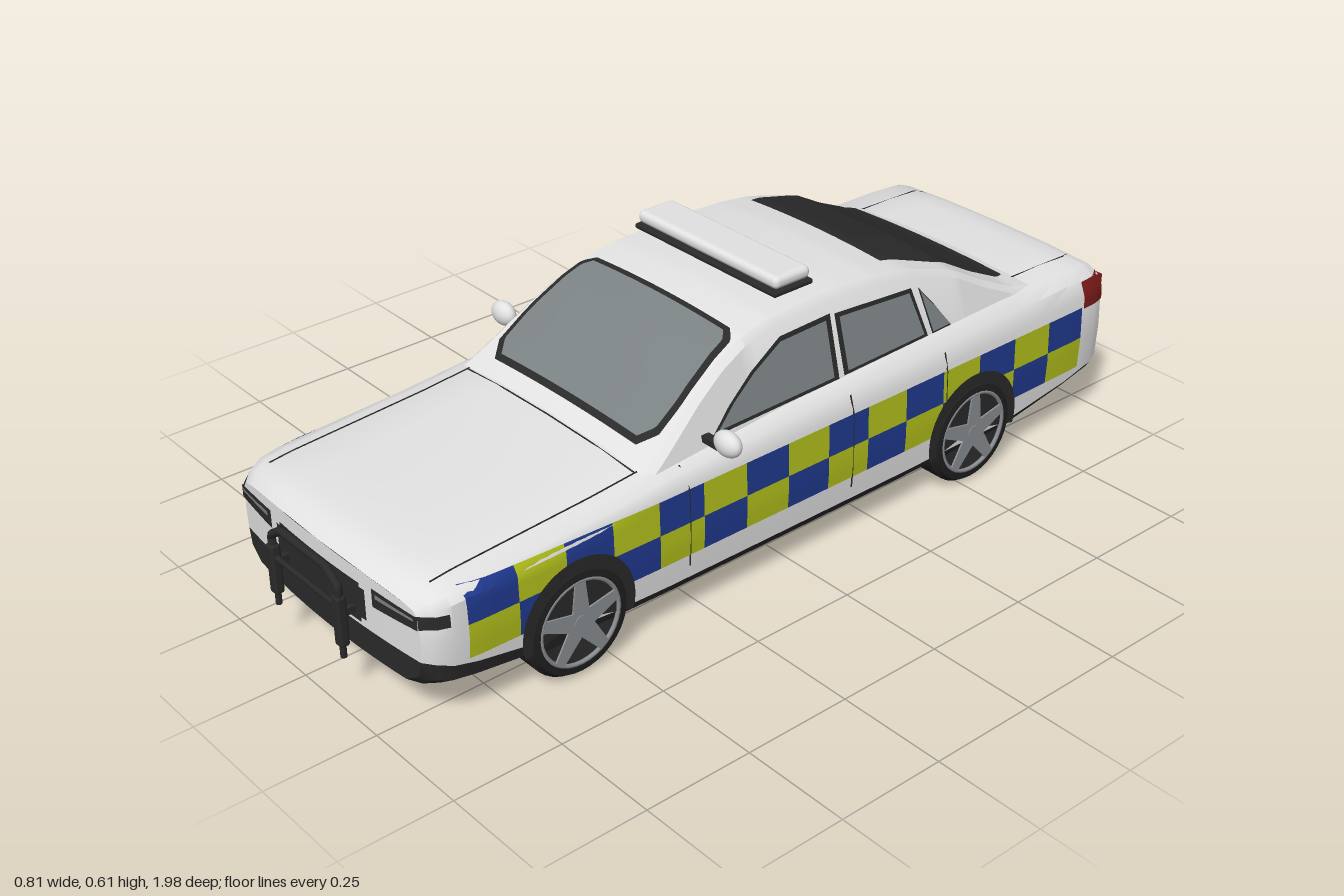
import * as THREE from 'three';
import { toCreasedNormals } from 'three/addons/utils/BufferGeometryUtils.js';
import { RoundedBoxGeometry } from 'three/addons/geometries/RoundedBoxGeometry.js';

const lerp = THREE.MathUtils.lerp;
const material = (name, color) => new THREE.MeshStandardMaterial({ name, color, side: THREE.DoubleSide });

// Body stations: z, half width, bottom, trim line, shoulder, top edge, crown
const STATIONS = [
  [0.92, 0.310, 0.105, 0.165, 0.265, 0.285, 0.012], [0.90, 0.331, 0.095, 0.160, 0.275, 0.300, 0.012],
  [0.87, 0.342, 0.088, 0.150, 0.285, 0.311, 0.012], [0.82, 0.347, 0.085, 0.140, 0.290, 0.317, 0.013],
  [0.70, 0.348, 0.075, 0.120, 0.295, 0.325, 0.013], [0.50, 0.348, 0.070, 0.102, 0.305, 0.338, 0.013],
  [0.35, 0.350, 0.070, 0.100, 0.312, 0.352, 0.012], [0.00, 0.350, 0.070, 0.100, 0.316, 0.372, 0.010],
  [-0.30, 0.350, 0.070, 0.100, 0.320, 0.380, 0.010], [-0.65, 0.348, 0.075, 0.102, 0.325, 0.390, 0.010],
  [-0.85, 0.346, 0.110, 0.130, 0.335, 0.389, 0.010], [-0.94, 0.342, 0.125, 0.148, 0.335, 0.385, 0.010],
  [-0.97, 0.332, 0.130, 0.155, 0.335, 0.375, 0.008]];
// Roof line: z, y
const ROOF = [[0.38, 0.350], [0.35, 0.367], [0.30, 0.402], [0.22, 0.460], [0.15, 0.503], [0.08, 0.533], [0, 0.547],
  [-0.1, 0.552], [-0.2, 0.553], [-0.3, 0.548], [-0.39, 0.535], [-0.53, 0.492], [-0.61, 0.447], [-0.7, 0.405], [-0.78, 0.385]];

// Linear lookup in a table sorted by falling first column
function look(table, z, col) {
  let i = 0;
  while (i < table.length - 2 && z < table[i + 1][0]) i++;
  const a = table[i], b = table[i + 1];
  return lerp(a[col], b[col], THREE.MathUtils.clamp((z - a[0]) / (b[0] - a[0]), 0, 1));
}

// Half section of the body from the underside centre to the top centre
function section(z) {
  const [w, yb, dk, sh, top, cr] = [1, 2, 3, 4, 5, 6].map((c) => look(STATIONS, z, c));
  return [[0, yb], [w - 0.05, yb], [w - 0.012, lerp(yb, dk, 0.4)], [w - 0.004, dk], [w, lerp(dk, sh, 0.45)],
    [w - 0.004, sh], [w - 0.018, lerp(sh, top, 0.65)], [w - 0.045, top], [w * 0.5, top + cr * 0.75], [0, top + cr]];
}
const bowed = (z, x) => z + 0.025 * (1 - (x / 0.35) ** 2) * THREE.MathUtils.smoothstep(z, 0.6, 0.9);

function sideX(z, y) {
  const s = section(z);
  let i = 1;
  while (i < 6 && y > s[i + 1][1]) i++;
  return lerp(s[i][0], s[i + 1][0], (y - s[i][1]) / (s[i + 1][1] - s[i][1]));
}
function topY(z, x) {
  const s = section(z), a = Math.abs(x), i = a > s[8][0] ? 7 : 8;
  return lerp(s[i][1], s[i + 1][1], (s[i][0] - a) / (s[i][0] - s[i + 1][0]));
}
const cabinX = (y) => 0.305 - (y - 0.37) * 0.28;
const roofY = (z) => look(ROOF, z, 1);

// Rectangular sheet shaped by a rule
function grid(nu, nv, fn, crease = 0.6) {
  const g = new THREE.PlaneGeometry(1, 1, nu, nv), p = g.attributes.position, uv = g.attributes.uv;
  for (let i = 0; i < p.count; i++) p.setXYZ(i, ...fn(uv.getX(i), uv.getY(i)));
  return toCreasedNormals(g, crease);
}

export function createModel() {
  const model = new THREE.Group();
  model.name = 'patrolCar';
  const white = material('white paint', 0xe2e2e2), dark = material('dark trim', 0x2a2a2a);
  const tyreMat = material('tyre rubber', 0x202020), glass = material('grey glass', 0x7b8284);
  const blue = material('blue panel', 0x20398f), yellow = material('yellow panel', 0xb4c21c);
  const red = material('red lamp', 0x7c1a1a), silver = material('silver rim', 0x8d9094);

  const add = (name, geo, mat, x = 0, y = 0, z = 0, parent = model) => {
    const m = new THREE.Mesh(geo, mat);
    m.name = name;
    m.position.set(x, y, z);
    parent.add(m);
    return m;
  };
  const tube = (name, pts, r, mat, n = 6) => {
    const path = new THREE.CurvePath();
    const v = pts.map((p) => new THREE.Vector3(...p));
    for (let i = 1; i < v.length; i++) path.add(new THREE.LineCurve3(v[i - 1], v[i]));
    return add(name, new THREE.TubeGeometry(path, (v.length - 1) * 6, r, n), mat);
  };

  // Body shell
  const zs = [];
  STATIONS.forEach((s, i) => {
    zs.push(s[0]);
    if (STATIONS[i + 1]) zs.push(lerp(s[0], STATIONS[i + 1][0], 0.5));
  });
  const shell = (name, half, mat) => {
    const n = half.length * 2 - 2;
    add(name, grid(zs.length - 1, n, (u, v) => {
      const z = zs[Math.round(u * (zs.length - 1))], k = Math.round(v * n);
      const mirrored = k >= half.length;
      const [x, y] = section(z)[half[mirrored ? n - k : k]];
      return [mirrored ? -x : x, y, bowed(z, x)];
    }), mat);
  };
  shell('bodyShell', [3, 4, 5, 6, 7, 8, 9], white);
  shell('lowerBody', [3, 2, 1, 0], dark);

  // Nose and tail faces
  const cap = (name, z, rows, mat) => add(name, grid(14, rows.length - 1, (u, v) => {
    const j = rows[Math.round(v * (rows.length - 1))], s = section(z)[Math.min(j, 7)];
    const x = lerp(-s[0], s[0], u);
    return [x, j > 7 ? topY(z, x) : s[1], bowed(z, x)];
  }), mat);
  for (const [end, z] of [['front', 0.92], ['rear', -0.97]]) {
    cap(end + 'Face', z, [3, 4, 5, 6, 7, 8], white);
    cap(end + 'Bumper', z, [1, 2, 3], dark);
  }

  // Cabin: roof and sloping sides
  const roofPoint = (z, s) => {
    const y = roofY(z);
    return [s * (cabinX(y) - 0.012), y + 0.01 * (1 - s * s), z];
  };
  add('cabin', grid(58, 12, (u, v) => {
    const z = lerp(0.38, -0.78, u), k = Math.round(v * 12) - 6, a = Math.abs(k);
    if (a <= 4) return roofPoint(z, k / 4);
    const y = a === 5 ? roofY(z) - 0.014 : Math.min(0.345, roofY(z) - 0.02);
    return [Math.sign(k) * cabinX(y), y, z];
  }), white);

  // Windscreen and rear window, outlined by z and half width
  const roofPlate = (name, outline, lift, mat) => add(name, grid(30, 12, (u, v) => {
    const z = lerp(outline[0][0], outline.at(-1)[0], u), x = look(outline, z, 1) * (v * 2 - 1);
    const s = x / (cabinX(roofY(z)) - 0.012);
    return [x, roofY(z) + 0.01 * (1 - s * s) + lift, z];
  }), mat);
  roofPlate('windscreenFrame', [[0.345, 0.235], [0.31, 0.265], [0.25, 0.262], [0.1, 0.242], [0.078, 0.215]], 0.005, dark);
  roofPlate('windscreen', [[0.334, 0.225], [0.305, 0.25], [0.25, 0.248], [0.11, 0.228], [0.092, 0.21]], 0.009, glass);
  roofPlate('rearWindow', [[-0.36, 0.205], [-0.5, 0.23], [-0.69, 0.248], [-0.725, 0.235]], 0.006, dark);

  // Side windows in z, y
  const windows = [
    ['frontSideWindow', [[0.205, 0.373], [0.15, 0.42], [0.08, 0.467], [-0.01, 0.512], [-0.153, 0.516], [-0.15, 0.378]]],
    ['rearSideWindow', [[-0.165, 0.512], [-0.165, 0.38], [-0.418, 0.386], [-0.39, 0.498]]],
    ['quarterWindow', [[-0.41, 0.494], [-0.45, 0.445], [-0.49, 0.388], [-0.432, 0.386]]]];
  const windowPlate = (name, pts, side, lift, mat) => {
    const g = new THREE.ShapeGeometry(new THREE.Shape(pts.map((p) => new THREE.Vector2(...p))));
    const p = g.attributes.position;
    for (let i = 0; i < p.count; i++) p.setXYZ(i, side * (cabinX(p.getY(i)) + lift), p.getY(i), p.getX(i));
    g.computeVertexNormals();
    add(name, g, mat);
  };
  for (const side of [-1, 1]) for (const [name, pts] of windows) {
    const c = [0, 1].map((k) => pts.reduce((t, p) => t + p[k], 0) / pts.length);
    windowPlate(name + 'Frame', pts, side, 0.003, dark);
    windowPlate(name, pts.map((p) => p.map((q, k) => lerp(c[k], q, k ? 0.87 : 0.91))), side, 0.006, glass);
  }

  // Plates that follow the body side or the end faces
  const sidePlate = (name, side, z0, z1, y0, y1, mat, lift = 0.002, n = 4) => add(name, grid(n, n, (u, v) => {
    const z = lerp(z0, z1, u), y = lerp(y0, y1, v), x = sideX(z, y);
    return [side * (x + lift), y, bowed(z, x)];
  }), mat);
  const endPlate = (name, zEnd, x0, x1, y0, y1, mat, lift = 0.004, taper = 0) => add(name, grid(6, 1, (u, v) => {
    const x = lerp(x0, x1, u);
    return [x, lerp(y0 + taper * u, y1 - taper * u * 0.5, v), bowed(zEnd, x) + Math.sign(zEnd) * lift];
  }), mat);

  for (const side of [-1, 1]) {
    // Two rows of checks
    const step = 1.73 / 15;
    for (let i = 0; i < 15; i++) for (let row = 0; row < 2; row++) {
      const z = 0.84 - i * step, y = 0.156 + row * 0.077;
      sidePlate('checkPanel', side, z, z - step, y, y + 0.077, (i + row) % 2 ? blue : yellow);
    }
    // Lamps
    endPlate('headlight', 0.92, side * 0.178, side * 0.309, 0.232, 0.274, dark, 0.004, 0.008);
    endPlate('headlightLens', 0.92, side * 0.19, side * 0.30, 0.256, 0.266, glass, 0.006, 0.003);
    sidePlate('headlightWrap', side, 0.923, 0.875, 0.242, 0.27, dark, 0.003);
    endPlate('tailLight', -0.97, side * 0.205, side * 0.325, 0.308, 0.362, red);
    sidePlate('tailLightWrap', side, -0.97, -0.895, 0.305, 0.368, red, 0.003);
    // Panel gaps
    for (const z of [0.3, -0.155, -0.44]) {
      const pts = [0.13, 0.18, 0.22, 0.27, 0.31, 0.35].map((y) => [side * (sideX(z, y) + 0.001), y, z]);
      tube('doorGap', pts, 0.0022, dark, 4);
    }
    tube('bonnetGap', [0.38, 0.5, 0.7, 0.82, 0.87].map((z) => [side * 0.28, topY(z, 0.28), bowed(z, 0.28)]), 0.0022, dark, 4);
    tube('bootGap', [[side * 0.24, topY(-0.75, 0.24), -0.75], [side * 0.24, topY(-0.94, 0.24), -0.94],
      [side * 0.22, 0.375, -0.971], [side * 0.2, 0.26, -0.971], [0, 0.255, -0.971]], 0.0022, dark, 4);
    // Door mirrors
    add('mirror', new THREE.SphereGeometry(1, 20, 14), white, side * 0.37, 0.393, 0.22).scale.set(0.036, 0.028, 0.022);
    add('mirrorStalk', new THREE.BoxGeometry(0.06, 0.014, 0.02), dark, side * 0.318, 0.378, 0.22);
  }
  for (const [name, z, w] of [['bonnetRearGap', 0.385, 0.28], ['bootFrontGap', -0.75, 0.24]])
    tube(name, [-1, -0.5, 0, 0.5, 1].map((s) => [s * w, topY(z, s * w), bowed(z, s * w)]), 0.0022, dark, 4);

  // Grille and rear bumper strip
  endPlate('grille', 0.92, -0.155, 0.155, 0.188, 0.258, dark, 0.004);
  endPlate('grilleMiddle', 0.92, -0.14, 0.14, 0.178, 0.268, dark, 0.005);
  add('rearBumperStrip', new RoundedBoxGeometry(0.54, 0.022, 0.026, 2, 0.006), dark, 0, 0.2, -0.982);

  // Push bar
  tube('pushBarHoop', [[-0.117, 0.235, 0.978], [-0.12, 0.262, 0.978], [-0.08, 0.29, 0.978],
    [0.08, 0.29, 0.978], [0.12, 0.262, 0.978], [0.117, 0.235, 0.978]], 0.009, dark, 8);
  tube('pushBarCross', [[-0.117, 0.214, 0.978], [0.117, 0.214, 0.978]], 0.006, dark, 8);
  for (const side of [-1, 1]) {
    add('pushBarPost', new RoundedBoxGeometry(0.025, 0.115, 0.022, 2, 0.006), dark, side * 0.117, 0.185, 0.978);
    add('pushBarFoot', new THREE.CylinderGeometry(0.007, 0.007, 0.04, 8), dark, side * 0.117, 0.12, 0.978);
    add('pushBarMount', new THREE.BoxGeometry(0.012, 0.016, 0.06), dark, side * 0.117, 0.2, 0.95);
  }

  // Roof light bar
  add('lightBarBase', new RoundedBoxGeometry(0.45, 0.012, 0.11, 2, 0.005), dark, 0, 0.578, -0.09);
  add('lightBar', new RoundedBoxGeometry(0.445, 0.029, 0.1, 4, 0.013), white, 0, 0.6, -0.09);
  for (const side of [-1, 1])
    add('lightBarLeg', new THREE.BoxGeometry(0.026, 0.03, 0.05), dark, side * 0.16, 0.563, -0.09);

  // Wheels: arch, tyre, rim ring and five-point spokes
  const tyreGeo = toCreasedNormals(new THREE.LatheGeometry([[0, -0.045], [0.11, -0.045], [0.125, -0.03], [0.125, 0.03],
    [0.115, 0.044], [0.1, 0.046], [0.098, 0.04]].map((p) => new THREE.Vector2(...p)), 36), 0.5);
  tyreGeo.rotateX(Math.PI / 2);
  const star = new THREE.Shape();
  for (let i = 0; i < 5; i++) {
    const a = Math.PI / 2 + i * Math.PI * 0.4;
    for (const [r, t] of [[0.095, a - 0.13], [0.095, a + 0.13], [0.034, a + Math.PI / 5]])
      star[i || star.curves.length || r < 0.05 || t > a ? 'lineTo' : 'moveTo'](r * Math.cos(t), r * Math.sin(t));
  }
  const starGeo = new THREE.ExtrudeGeometry(star, { depth: 0.004, bevelEnabled: false });
  const ringGeo = new THREE.TorusGeometry(0.096, 0.005, 6, 36);
  const archGeo = new THREE.CircleGeometry(0.139, 36, -0.25, Math.PI + 0.5);
  for (const side of [-1, 1]) for (const z of [0.586, -0.528]) {
    const wheel = new THREE.Group();
    wheel.name = z > 0 ? 'frontWheel' : 'rearWheel';
    wheel.position.set(0, 0.125, z);
    wheel.rotation.y = side * Math.PI / 2;
    model.add(wheel);
    add('wheelArch', archGeo, dark, 0, 0.007, 0.353, wheel);
    add('tyre', tyreGeo, tyreMat, 0, 0, 0.311, wheel);
    add('rimRing', ringGeo, silver, 0, 0, 0.353, wheel);
    add('spokes', starGeo, silver, 0, 0, 0.3535, wheel);
    add('hubCap', new THREE.CylinderGeometry(0.018, 0.018, 0.006, 16).rotateX(Math.PI / 2), silver, 0, 0, 0.356, wheel);
  }
  return model;
}
